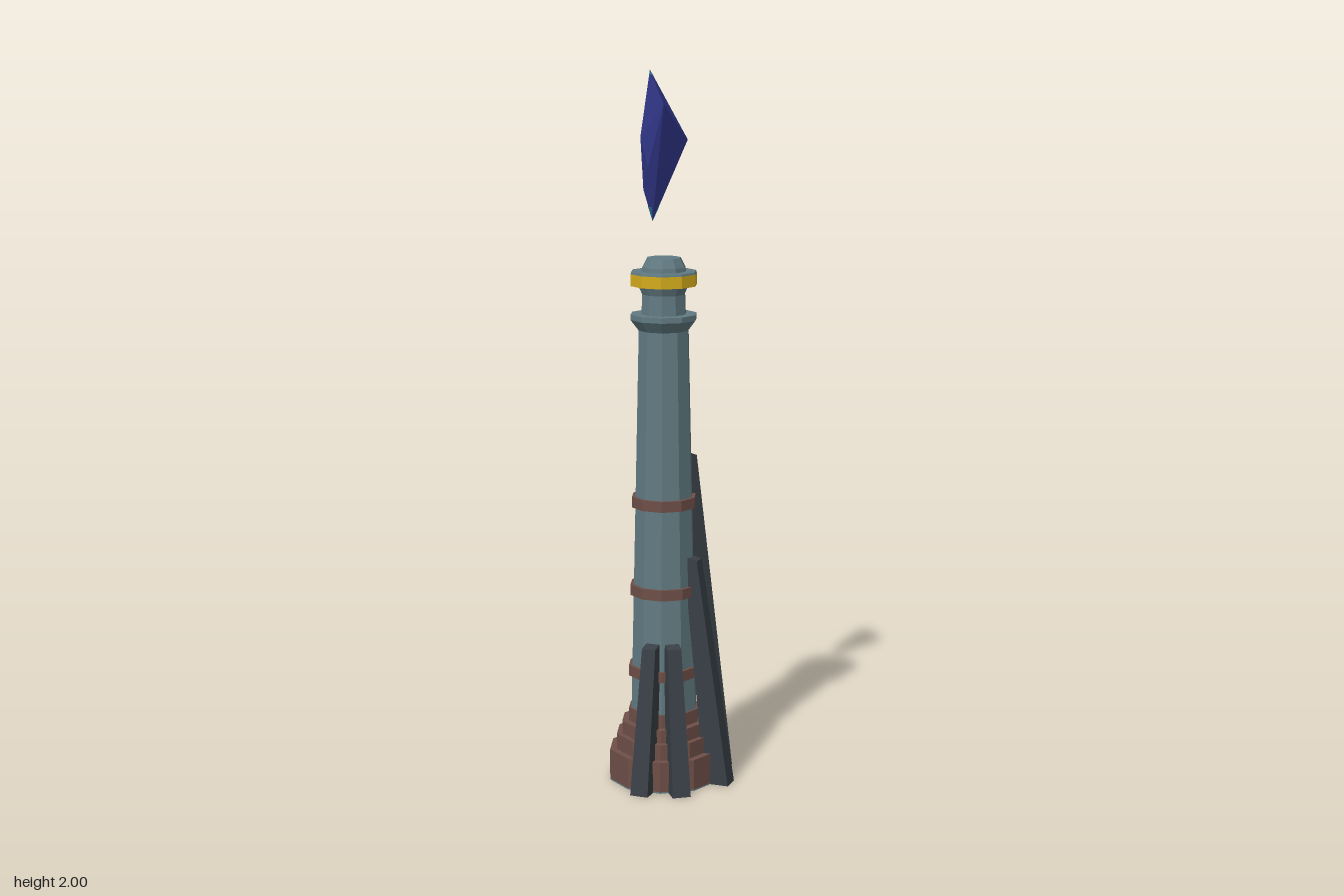
import * as THREE from 'three';
import { ConvexGeometry } from 'three/addons/geometries/ConvexGeometry.js';

const material = (name, color) => {
  const m = new THREE.MeshStandardMaterial({ color, flatShading: true });
  m.name = name;
  return m;
};

export function createModel() {
  const stone = material('blue grey stone', 0x617a82);
  const brick = material('brown brick', 0x6e4f47);
  const timber = material('dark timber', 0x383f45);
  const gold = material('gold', 0xd4ac1c);
  const crystalBlue = material('crystal blue', 0x2f3585);
  const crystalCyan = material('crystal cyan', 0x2c6a8c);

  const model = new THREE.Group();
  model.name = 'crystalTower';
  const add = (parent, name, geometry, mat) => {
    const mesh = new THREE.Mesh(geometry, mat);
    mesh.name = name;
    parent.add(mesh);
    return mesh;
  };

  // Everything but the crystal is laid out around the tower axis
  const tower = new THREE.Group();
  tower.name = 'tower';
  tower.position.set(-0.023, 0, 0.013);
  model.add(tower);

  // Ten-sided drum with corners on the x axis
  const drum = (name, y0, y1, r0, r1, mat) => {
    const g = new THREE.CylinderGeometry(r1, r0, y1 - y0, 10);
    g.rotateY(Math.PI / 2);
    g.translate(0, (y0 + y1) / 2, 0);
    return add(tower, name, g, mat);
  };

  // Stepped brick base on a stone floor
  drum('floor', 0, 0.004, 0.158, 0.158, stone);
  [[0.004, 0.09, 0.158], [0.09, 0.135, 0.138], [0.135, 0.172, 0.122], [0.172, 0.21, 0.102]]
    .forEach(([y0, y1, r], i) => drum(`baseStep${i + 1}`, y0, y1, r, r, brick));

  // Shaft with flared collar, neck and cap
  const profile = [
    [0.095, 0.2], [0.071, 1.29], [0.094, 1.32], [0.094, 1.335], [0.063, 1.335],
    [0.061, 1.39], [0.072, 1.415], [0.09, 1.415], [0.09, 1.452], [0.063, 1.452],
    [0.061, 1.465], [0.048, 1.49], [0, 1.49],
  ].map(([r, y]) => new THREE.Vector2(r, y));
  const shaft = new THREE.LatheGeometry(profile, 10);
  shaft.rotateY(Math.PI / 2);
  add(tower, 'shaft', shaft, stone);

  // Gold crown band with a stone rim
  drum('goldBand', 1.414, 1.447, 0.094, 0.094, gold);
  drum('crownRim', 1.447, 1.453, 0.094, 0.092, stone);

  // Brick hoops
  [[0.32, 0.102], [0.555, 0.097], [0.807, 0.092]]
    .forEach(([y, r], i) => drum(`hoop${i + 1}`, y - 0.015, y + 0.015, r, r, brick));

  // Small window slits on the back left face
  [[0.4, 0.087], [1.02, 0.0745]].forEach(([y, r], i) => {
    const slit = add(tower, `windowSlit${i + 1}`, new THREE.BoxGeometry(0.012, 0.03, 0.006), timber);
    const angle = Math.atan2(-0.951, -0.309);
    slit.position.set(Math.sin(angle) * r, y, Math.cos(angle) * r);
    slit.rotation.y = angle;
  });

  // Leaning timber buttress: foot position, top radius and top height
  const buttress = (name, x, z, topRadius, height) => {
    const foot = Math.hypot(x, z);
    const points = [];
    for (const side of [-1, 1]) {
      points.push(
        new THREE.Vector3(side * 0.026, 0, foot),
        new THREE.Vector3(side * 0.026, 0, foot - 0.07),
        new THREE.Vector3(side * 0.02, height - 0.01, topRadius),
        new THREE.Vector3(side * 0.02, height, topRadius - 0.04),
      );
    }
    const mesh = add(tower, name, new ConvexGeometry(points), timber);
    mesh.rotation.y = Math.atan2(x, z);
  };
  buttress('backRightButtress', -0.059, -0.213, 0.095, 1.155);
  buttress('backLeftButtress', 0.128, -0.173, 0.096, 0.94);
  buttress('leftButtress', 0.203, -0.003, 0.106, 0.655);
  buttress('frontLeftButtress', 0.117, 0.157, 0.115, 0.415);
  buttress('frontButtress', 0.002, 0.193, 0.117, 0.415);

  // Floating crystal
  const v = (x, y, z) => new THREE.Vector3(x, y, z);
  const apex = v(-0.06, 2, 0.02);
  const nadir = v(-0.05, 1.59, 0.027);
  const upper = [v(-0.083, 1.89, -0.035), v(0, 1.91, 0.068), v(0.028, 1.81, -0.037), v(-0.078, 1.82, 0.045)];
  const lower = [v(-0.058, 1.71, -0.05), v(-0.08, 1.675, 0.02), v(-0.05, 1.74, 0.06), v(0.028, 1.81, -0.037)];
  add(model, 'crystal', new ConvexGeometry([apex, nadir, ...upper, ...lower]), crystalBlue);

  // Paler tips: thin caps just outside the crystal's points
  const tip = (name, point, ring, y) => {
    const points = ring.map((p) => point.clone().lerp(p, (y - point.y) / (p.y - point.y)));
    const centre = points.reduce((s, p) => s.add(p), v(0, 0, 0)).divideScalar(points.length);
    points.forEach((p) => p.sub(centre).multiplyScalar(1.06).add(centre));
    add(model, name, new ConvexGeometry([point, ...points]), crystalCyan);
  };
  tip('crystalLowerTip', nadir, lower, 1.63);
  tip('crystalUpperTip', apex, upper, 1.985);

  return model;
}
